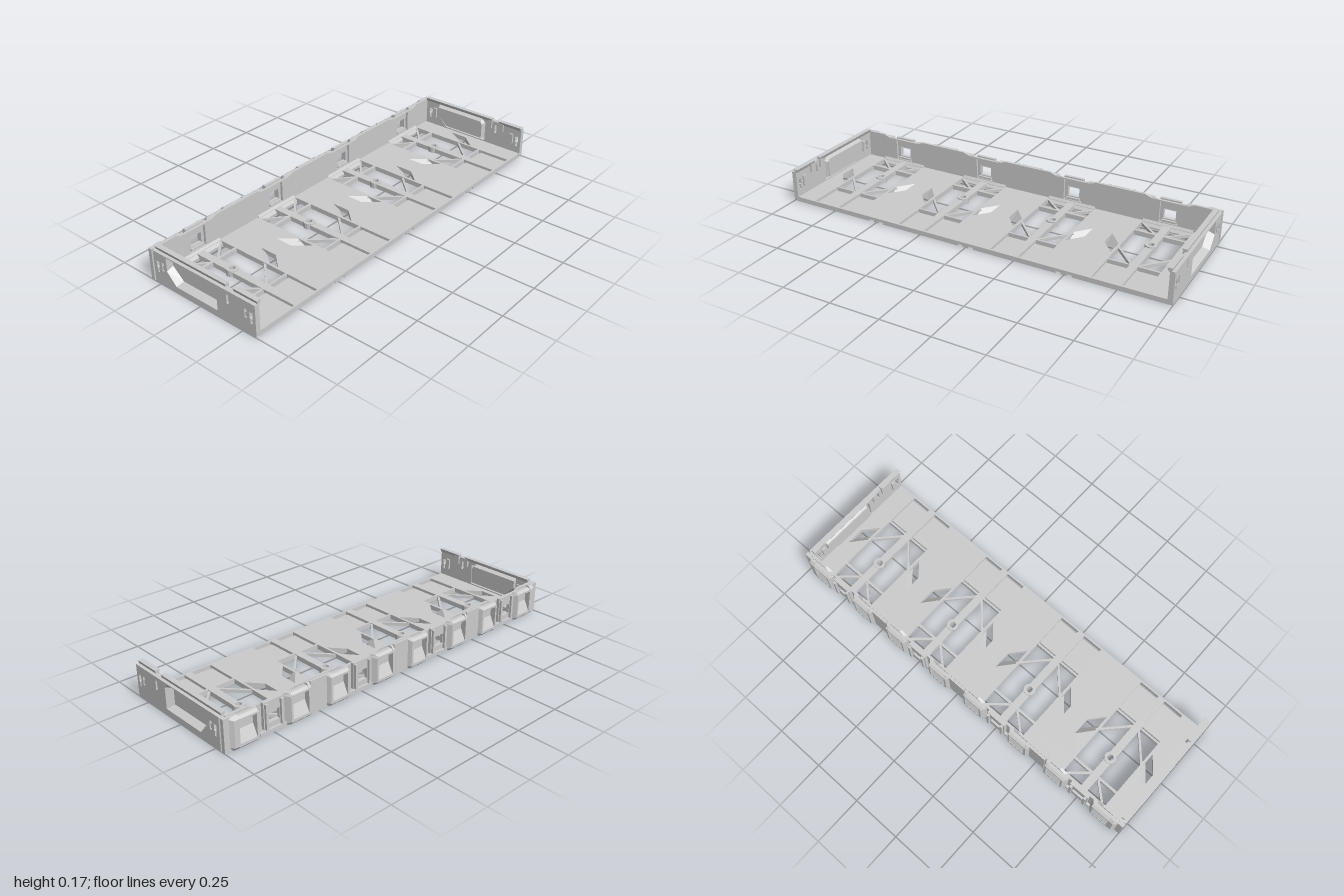
import * as THREE from 'three';

const grey = new THREE.MeshStandardMaterial({ color: 0xcccccc, flatShading: true });
const thin = new THREE.MeshStandardMaterial({ color: 0xcccccc, flatShading: true, side: THREE.DoubleSide });

// outlines run anticlockwise, holes clockwise, so every wall faces outwards
const wind = (pts, clockwise) => {
  const v = pts.map(p => new THREE.Vector2(...p));
  return THREE.ShapeUtils.isClockWise(v) === clockwise ? v : v.reverse();
};
function extrude(pts, holes, depth, steps = 1) {
  const s = new THREE.Shape(wind(pts, false));
  s.holes = holes.map(h => new THREE.Path(wind(h, true)));
  return new THREE.ExtrudeGeometry(s, { depth, steps, bevelEnabled: false });
}
const rect = (a0, a1, b0, b1) => [[a0, b0], [a1, b0], [a1, b1], [a0, b1]];
const circle = (x, y, r, n = 16) => Array.from({ length: n }, (_, i) =>
  [x + r * Math.cos(i / n * Math.PI * 2), y + r * Math.sin(i / n * Math.PI * 2)]);

// plan outline [x, z] raised from y0 to y1
function slab(pts, y0, y1, holes = [], steps = 1) {
  const flip = l => l.map(([x, z]) => [x, -z]);
  return extrude(flip(pts), holes.map(flip), y1 - y0, steps).rotateX(-Math.PI / 2).translate(0, y0, 0);
}
// side outline [z, y] running from x0 to x1
const sideSlab = (pts, x0, x1, holes = []) =>
  extrude(pts, holes, x1 - x0).rotateY(-Math.PI / 2).translate(x1, 0, 0);
const box = (x0, x1, y0, y1, z0, z1) => slab(rect(x0, x1, z0, z1), y0, y1);

// flat bar between two plan points
function bar(x0, z0, x1, z1, w, y0, y1) {
  const l = Math.hypot(x1 - x0, z1 - z0), nx = -(z1 - z0) / l * w / 2, nz = (x1 - x0) / l * w / 2;
  return slab([[x0 + nx, z0 + nz], [x1 + nx, z1 + nz], [x1 - nx, z1 - nz], [x0 - nx, z0 - nz]], y0, y1);
}
// open surface from four-cornered faces
function quads(list) {
  const g = new THREE.BufferGeometry();
  g.setAttribute('position', new THREE.Float32BufferAttribute(
    list.flatMap(([a, b, c, d]) => [...a, ...b, ...c, ...a, ...c, ...d]), 3));
  g.computeVertexNormals();
  return g;
}
// move every vertex by a rule
function reshape(geo, rule) {
  const p = geo.attributes.position, v = new THREE.Vector3();
  for (let i = 0; i < p.count; i++) {
    rule(v.fromBufferAttribute(p, i));
    p.setXYZ(i, v.x, v.y, v.z);
  }
  geo.computeVertexNormals();
  return geo;
}
// pull the top and bottom rows forward to chamfer the rear edges
const chamfer = geo => reshape(geo, v => {
  if (v.y < 0.002 || v.y > 0.148) v.z = Math.max(v.z, -0.314);
});
// mirrored copy with the winding put right
function mirrorX(geo) {
  const g = geo.clone().scale(-1, 1, 1), p = g.attributes.position;
  const a = new THREE.Vector3(), b = new THREE.Vector3();
  for (let i = 0; i < p.count; i += 3) {
    a.fromBufferAttribute(p, i); b.fromBufferAttribute(p, i + 1);
    p.setXYZ(i, b.x, b.y, b.z); p.setXYZ(i + 1, a.x, a.y, a.z);
  }
  g.computeVertexNormals();
  return g;
}

const bays = [-0.75, -0.25, 0.25, 0.75];
const FLOOR = 0.024;

export function createModel() {
  const root = new THREE.Group();
  const add = (name, geo, parent = root, mat = grey) => {
    const m = new THREE.Mesh(geo, mat);
    m.name = name; parent.add(m);
  };
  const pair = (name, geo, parent, mat) => {
    add(name, geo, parent, mat); add(name, mirrorX(geo), parent, mat);
  };

  // floor openings
  const holes = [];
  for (const c of bays) {
    holes.push(circle(c, -0.07, 0.015));
    for (const s of [-1, 1]) {
      const put = pts => holes.push(pts.map(([x, z]) => [c + s * x, z]));
      put(rect(0.019, 0.125, -0.275, -0.185));
      put(rect(0.019, 0.125, -0.172, 0.13));
      put(rect(0.019, 0.125, 0.14, 0.315));
      put([[0.2, -0.09], [0.137, -0.015], [0.137, 0.075], [0.2, 0.0]]);
    }
  }
  // the lower layer has pairs of grooves between the bays
  const grooved = [[-0.985, -0.288], [0.985, -0.288], [0.985, 0.325]];
  for (const c of [0.5, 0, -0.5]) for (const o of [0.027, -0.027])
    grooved.push([c + o + 0.013, 0.325], [c + o + 0.013, -0.27], [c + o - 0.013, -0.27], [c + o - 0.013, 0.325]);
  grooved.push([-0.985, 0.325]);
  add('floorTop', slab(rect(-0.985, 0.985, -0.288, 0.325), 0.01, FLOOR, holes));
  add('floorUnderside', slab(grooved, 0, 0.01, holes));

  // details of each bay
  for (const c of bays) {
    const bay = new THREE.Group();
    bay.name = 'bay'; bay.position.x = c; root.add(bay);
    add('screwBoss', slab(circle(0, -0.07, 0.029), 0, 0.03, [circle(0, -0.07, 0.0148)]), bay);
    pair('pocketPlate', box(0.017, 0.127, 0.002, 0.01, 0.15, 0.305), bay);
    pair('rearBrace', bar(0.125, -0.275, 0.018, -0.18, 0.011, 0.004, 0.02), bay);
    pair('frontBrace', bar(0.14, -0.01, 0.015, 0.125, 0.011, 0.004, 0.02), bay);
    pair('ventFlap', quads([[[0.2, FLOOR, -0.09], [0.137, FLOOR, -0.015], [0.137, 0.001, 0.025], [0.2, 0.001, -0.05]]]), bay, thin);
    add('rearLedge', sideSlab([[-0.288, 0.002], [-0.264, 0.002], [-0.264, 0.008], [-0.286, 0.036], [-0.288, 0.036]], -0.125, 0.125), bay);
  }

  // rear wall with stepped top and latch recesses
  const top = [];
  for (const c of bays)
    top.push([c - 0.125, 0.163], [c - 0.09, 0.15], [c + 0.09, 0.15], [c + 0.125, 0.163]);
  add('rearWall', extrude([[0.98, 0], [0.98, 0.163], ...top.reverse(), [-0.98, 0.163], [-0.98, 0]],
    bays.map(c => rect(c - 0.047, c + 0.047, 0.038, 0.144)), 0.013).translate(0, 0, -0.298));

  // ribs, pockets and latch frames on the outside of the rear wall
  for (const c of bays) {
    const back = new THREE.Group();
    back.name = 'rearBay'; back.position.x = c; root.add(back);
    const block = rect(0.088, 0.19, -0.327, -0.29);
    pair('innerRib', chamfer(slab([[0.065, -0.29], [0.085, -0.327], [0.095, -0.327], [0.095, -0.29]], 0, 0.152, [], 10)), back);
    pair('outerRib', chamfer(slab([[0.182, -0.29], [0.182, -0.327], [0.193, -0.327], [0.213, -0.29]], 0, 0.16, [], 10)), back);
    pair('pocketHeader', chamfer(slab(block, 0.133, 0.152, [], 2)), back);
    pair('pocketSill', chamfer(slab(block, 0, 0.025, [], 2)), back);
    pair('pocketRamp', sideSlab([[-0.295, 0.02], [-0.295, 0.085], [-0.325, 0.024], [-0.325, 0.02]], 0.093, 0.184), back);
    pair('linkPanel', box(0.205, 0.25, 0, 0.16, -0.311, -0.292), back);
    add('latchFrame', extrude(rect(-0.052, 0.052, 0.03, 0.157), [rect(-0.031, 0.031, 0.055, 0.107)], 0.016)
      .translate(0, 0, -0.314), back);
    pair('latchGuide', box(0.034, 0.047, 0.03, 0.15, -0.326, -0.312), back);
    add('latchSill', box(-0.07, 0.07, 0, 0.018, -0.311, -0.29), back);
    add('windowLip', box(-0.037, 0.037, 0.04, 0.05, -0.3, -0.287), back);
  }

  // end walls with keyholes, slots and a recessed panel
  const keyhole = z => [[z - 0.005, 0.06], [z + 0.005, 0.06], [z + 0.005, 0.083], [z + 0.009, 0.086],
    [z + 0.009, 0.115], [z - 0.009, 0.115], [z - 0.009, 0.086], [z - 0.005, 0.083]];
  const slot = (z, y0, y1, r) => circle(z, 0, r).map(([a, b]) => [a, b > 0 ? y1 - r + b : y0 + r + b]);
  const outer = [[0.105, 0.03], [0.105, 0.135], [0.08, 0.155], [-0.2, 0.155], [-0.2, 0.085], [-0.147, 0.03]];
  const inner = [[0.09, 0.045], [0.09, 0.125], [0.08, 0.14], [-0.198, 0.14], [-0.198, 0.1], [-0.138, 0.045]];
  const clips = [0.272, -0.223];
  pair('endWall', sideSlab([[-0.282, 0], [0.321, 0], [0.327, 0.006], [0.327, 0.16], [-0.282, 0.16]], 0.976, 1,
    [keyhole(0.303), keyhole(-0.255), slot(0.17, 0.095, 0.142, 0.006), outer,
      ...clips.map(z => rect(z - 0.007, z + 0.007, 0.077, 0.119))]));
  for (const z of clips) {
    pair('clipBacking', box(0.966, 0.978, 0.07, 0.125, z - 0.01, z + 0.01));
    pair('clipTongue', sideSlab(rect(z - 0.007, z + 0.007, 0.078, 0.1), 0.975, 0.995));
  }
  const ringAt = (pts, x) => pts.map(([z, y]) => [x, y, z]);
  const a = ringAt(outer, 1), b = ringAt(inner, 0.966);
  pair('panelBevel', quads(a.map((p, i) => [p, a[(i + 1) % 6], b[(i + 1) % 6], b[i]])), root, thin);
  pair('panel', sideSlab(inner, 0.962, 0.966));

  // top rails, flaring upwards, with a gap for a catch
  const rail = (z0, z1) => reshape(sideSlab(rect(z0, z1, 0.157, 0.175), 0.963, 0.988), v => {
    if (v.y < 0.16) v.x = 0.977 + (v.x - 0.9755) * 0.5;
  });
  pair('rearRail', rail(-0.28, 0.148));
  pair('frontRail', rail(0.193, 0.327));
  pair('catch', box(0.966, 0.98, 0.12, 0.163, 0.13, 0.148));
  pair('catch', box(0.966, 0.98, 0.12, 0.163, 0.193, 0.22));

  // chamfered rear corners
  pair('cornerPost', chamfer(slab([[1, -0.282], [0.958, -0.327], [0.935, -0.327], [0.935, -0.308],
    [0.955, -0.308], [0.976, -0.282]], 0, 0.16, [], 10)));
  return root;
}
